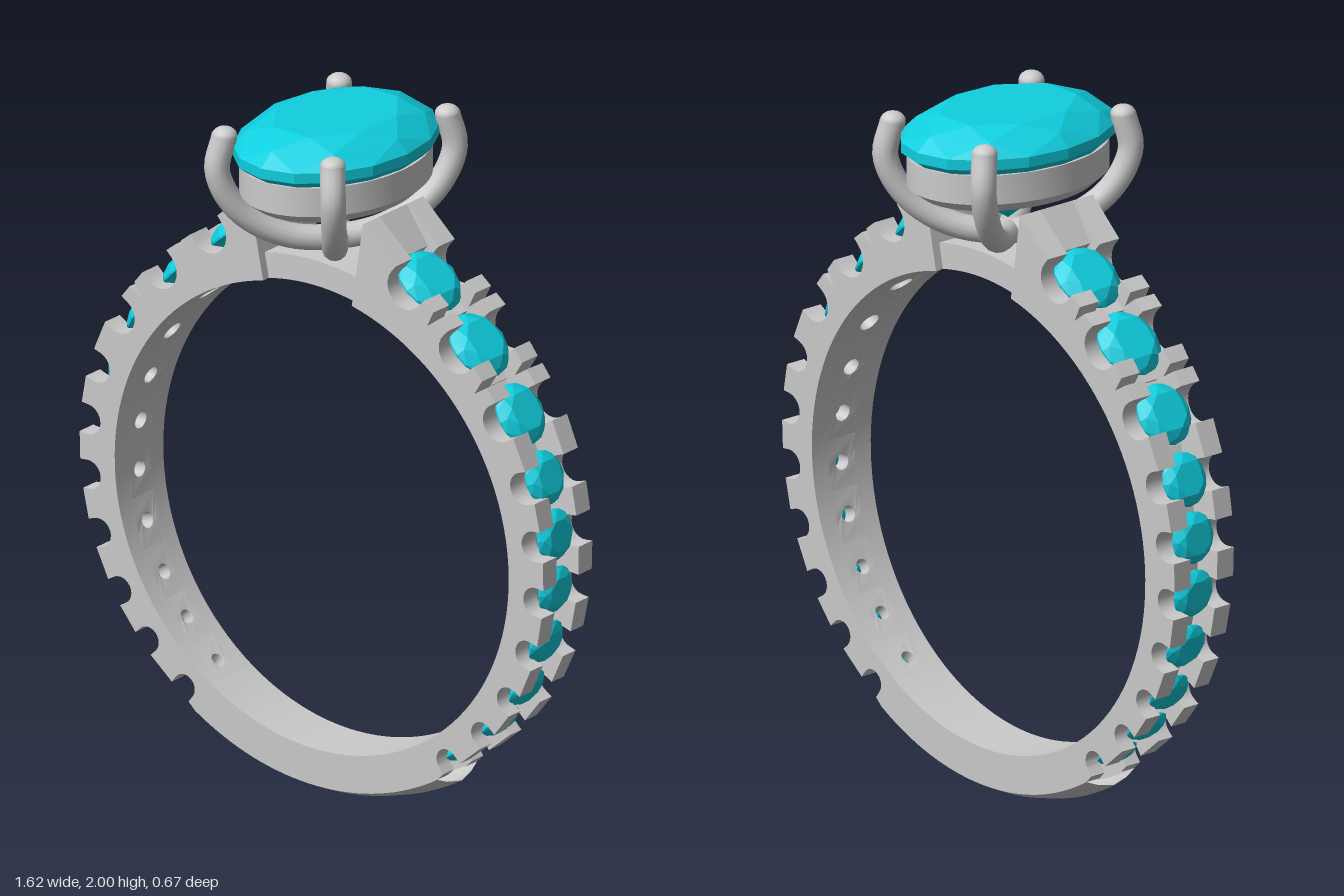
import * as THREE from 'three';
import { toCreasedNormals } from 'three/addons/utils/BufferGeometryUtils.js';
import { ConvexGeometry } from 'three/addons/geometries/ConvexGeometry.js';

const CY = 0.83, RI = 0.69; // finger hole centre height and radius
const metal = new THREE.MeshStandardMaterial({ color: 0xcccccc, side: THREE.DoubleSide });
const blue = new THREE.MeshStandardMaterial({ color: 0x10cfe0, flatShading: true });
const V = (x, y) => new THREE.Vector2(x, y);
const polar = (r, deg) => V(r * Math.cos(deg * Math.PI / 180), r * Math.sin(deg * Math.PI / 180));

// The band widens from bottom to shoulders (y measured from the ring centre).
const halfWidth = (y) => 0.085 + 0.0285 * (y + CY);

function mesh(name, geo, mat = metal) {
  const m = new THREE.Mesh(geo, mat);
  m.name = name;
  return m;
}

function warp(geo, rule) {
  const p = geo.attributes.position, v = new THREE.Vector3();
  for (let i = 0; i < p.count; i++) {
    rule(v.fromBufferAttribute(p, i));
    p.setXYZ(i, v.x, v.y, v.z);
  }
  return toCreasedNormals(geo, 0.5);
}

// Side profile extruded between two fractions of the band's half width
function slab(points, z0, z1) {
  const geo = new THREE.ExtrudeGeometry(new THREE.Shape(points), { depth: z1 - z0, bevelEnabled: false });
  return warp(geo.translate(0, 0, z0), (v) => { v.z *= halfWidth(v.y); });
}

// Part of a ring about the z axis; phi = 0 is the bottom
function ringSector(profile, phi, span, segments) {
  const geo = new THREE.LatheGeometry(profile, segments, phi - span, span * 2).rotateX(Math.PI / 2);
  return warp(geo, (v) => { v.z *= halfWidth(v.y); });
}

// Brilliant cut: table, crown, girdle, pavilion and culet
function gemGeometry(rx, rz, crown, girdle, pavilion) {
  const pts = [];
  const row = (n, r, y, turn = 0) => {
    for (let i = 0; i < n; i++) {
      const a = (i + turn) / n * Math.PI * 2;
      pts.push(new THREE.Vector3(rx * r * Math.cos(a), y, rz * r * Math.sin(a)));
    }
  };
  row(8, 0.64, crown, 0.5);
  row(8, 0.86, girdle + (crown - girdle) * 0.58);
  row(16, 1, girdle);
  row(16, 1, 0);
  row(8, 0.5, -pavilion * 0.53, 0.5);
  pts.push(new THREE.Vector3(0, -pavilion, 0));
  return new ConvexGeometry(pts);
}

// Small stones down one side: x, y, radius
const stones = [
  [0.46, 0.215, 0.06], [0.585, 0.325, 0.062], [0.68, 0.45, 0.065], [0.75, 0.605, 0.068], [0.783, 0.77, 0.07],
  [0.783, 0.935, 0.074], [0.748, 1.10, 0.077], [0.665, 1.275, 0.09], [0.52, 1.45, 0.1], [0.345, 1.60, 0.102],
].map(([x, y, r]) => ({ p: V(x, y - CY), r }));
stones.forEach((s, i) => {
  const a = i ? stones[i - 1].p : V(0.36, 0.15 - CY);
  const b = i < 9 ? stones[i + 1].p : V(0.22, 1.70 - CY);
  s.t = b.clone().sub(a).normalize();
  s.n = V(s.t.y, -s.t.x);
  s.angle = Math.atan2(s.p.y, s.p.x);
  s.at = (t, n) => s.p.clone().addScaledVector(s.t, t).addScaledVector(s.n, n);
});

const LOW = -58, HIGH = 77; // degrees where the set part starts and ends
const TIP = V(0.2, 1.757 - CY);

// Outline with a scalloped notch at each stone and claws between
function railOutline() {
  const pts = [polar(RI, LOW), polar(0.80, LOW)];
  stones.forEach((s, i) => {
    const r = s.r * 0.61, claw = 0.024;
    if (i >= 8) { // slit splitting the wide claws
      const q = stones[i - 1];
      const m = q.at(q.r * 0.61, claw).lerp(s.at(-r, claw), 0.5);
      pts.push(m.clone().addScaledVector(s.t, -0.012), m.clone().addScaledVector(s.n, -0.05),
        m.clone().addScaledVector(s.t, 0.012));
    }
    pts.push(s.at(-r, claw));
    for (let k = 0; k <= 12; k++) {
      const a = k / 12 * Math.PI;
      pts.push(s.at(-r * Math.cos(a), -r * Math.sin(a)));
    }
    pts.push(s.at(r, claw));
  });
  pts.push(TIP);
  for (let d = HIGH; d > LOW; d -= 3) pts.push(polar(RI, d));
  return pts;
}

// Floor under a stone with a drilled hole, bent round the finger hole
function seatGeometry(s, a0, a1) {
  const w = 0.46 * halfWidth(s.p.y), pts = [];
  for (let k = 0; k <= 6; k++) pts.push(V((a0 + (a1 - a0) * k / 6) * RI, -w));
  for (let k = 6; k >= 0; k--) pts.push(V((a0 + (a1 - a0) * k / 6) * RI, w));
  const shape = new THREE.Shape(pts);
  shape.holes.push(new THREE.Path().absarc(s.angle * RI, 0, s.r * 0.34, 0, Math.PI * 2, true));
  const depth = Math.max(0.04, s.p.length() - RI - 0.06);
  const geo = new THREE.ExtrudeGeometry(shape, { depth, bevelEnabled: false, curveSegments: 8 });
  return warp(geo, (v) => {
    const a = v.x / RI, r = RI + v.z;
    v.set(r * Math.cos(a), r * Math.sin(a), v.y);
  });
}

function buildSide(name) {
  const side = new THREE.Group();
  side.name = name;
  const outline = railOutline();
  side.add(mesh('frontRail', slab(outline, 0.45, 1)), mesh('backRail', slab(outline, -1, -0.45)));

  // Solid shoulder end between the rails
  const top = stones[9];
  side.add(mesh('shoulderEnd', slab([polar(RI, HIGH), polar(RI, 74), polar(RI, 71),
    top.at(top.r * 0.85, -0.05), top.at(top.r * 0.85, -0.005), TIP], -0.45, 0.45)));

  stones.forEach((s, i) => {
    const a0 = i ? (stones[i - 1].angle + s.angle) / 2 : LOW * Math.PI / 180;
    const a1 = i < 9 ? (stones[i + 1].angle + s.angle) / 2 : 72 * Math.PI / 180;
    side.add(mesh('stoneSeat', seatGeometry(s, a0, a1)));
    const gem = mesh('sideStone', gemGeometry(s.r, s.r, s.r * 0.36, s.r * 0.06, s.r * 0.75), blue);
    const c = s.at(0, 0.006 - s.r * 0.36);
    gem.position.set(c.x, c.y, 0);
    gem.rotation.z = Math.atan2(s.n.y, s.n.x) - Math.PI / 2;
    side.add(gem);
  });
  return side;
}

export function createModel() {
  const ring = new THREE.Group();
  ring.name = 'ring';

  // Band
  const band = new THREE.Group();
  band.name = 'band';
  band.position.y = CY;
  const right = buildSide('rightSide');
  right.rotation.y = Math.PI;
  const shank = [V(RI, -1), V(0.80, -1), V(0.817, -0.6), V(0.83, 0), V(0.817, 0.6), V(0.80, 1), V(RI, 1), V(RI, -1)];
  const bridge = [V(RI, -0.8), V(0.765, -0.8), V(0.765, 0.8), V(RI, 0.8), V(RI, -0.8)];
  band.add(buildSide('leftSide'), right,
    mesh('lowerShank', ringSector(shank, 0, (90 + LOW) * Math.PI / 180, 32)),
    mesh('bridge', ringSector(bridge, Math.PI, 0.24, 12)));
  ring.add(band);

  // Oval gallery under the main stone
  const rim = [V(0.165, 1.77), V(0.205, 1.77), V(0.235, 1.80), V(0.235, 1.885), V(0.18, 1.885), V(0.165, 1.77)];
  const gallery = new THREE.LatheGeometry(rim, 48).scale(1, 1, 1.33);
  ring.add(mesh('gallery', toCreasedNormals(gallery, 0.5)));

  // Two crossing wires form the four prongs
  const half = [[0.19, 1.963, 0.256], [0.203, 1.86, 0.272], [0.168, 1.74, 0.222], [0.09, 1.655, 0.12]];
  for (const s of [1, -1]) {
    const path = [...half.map(([x, y, z]) => new THREE.Vector3(x, y, z * s)), new THREE.Vector3(0, 1.632, 0),
      ...half.map(([x, y, z]) => new THREE.Vector3(-x, y, -z * s)).reverse()];
    ring.add(mesh('prongWire', new THREE.TubeGeometry(new THREE.CatmullRomCurve3(path), 56, 0.036, 14)));
    for (const end of [path[0], path[path.length - 1]]) {
      const tip = mesh('prongTip', new THREE.SphereGeometry(0.036, 14, 10));
      tip.scale.y = 0.75;
      tip.position.copy(end);
      ring.add(tip);
    }
  }

  // Oval main stone
  const main = mesh('mainStone', gemGeometry(0.25, 0.335, 0.095, 0.03, 0.235), blue);
  main.position.y = 1.905;
  ring.add(main);
  return ring;
}
